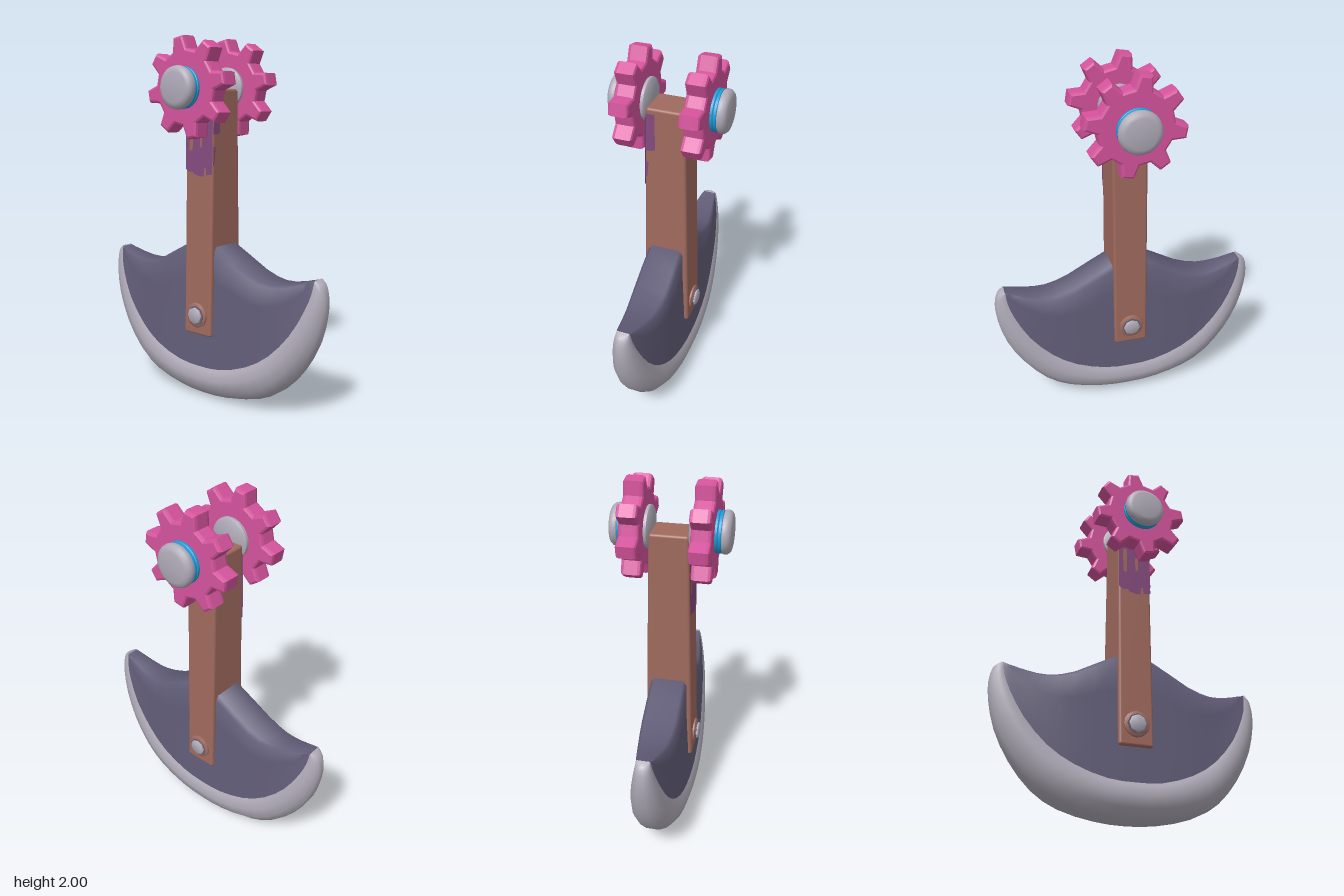
import * as THREE from 'three';
import { toCreasedNormals } from 'three/addons/utils/BufferGeometryUtils.js';
import { RoundedBoxGeometry } from 'three/addons/geometries/RoundedBoxGeometry.js';

const mat = (name, color, side = THREE.FrontSide) => {
  const m = new THREE.MeshStandardMaterial({ color, side });
  m.name = name;
  return m;
};

// Skin a list of equal-length cross-sections
function skin(sections, closed) {
  const n = sections[0].length, pos = [], idx = [];
  sections.forEach(s => s.forEach(p => pos.push(p.x, p.y, p.z)));
  for (let i = 0; i < sections.length - 1; i++) {
    for (let j = 0; j < (closed ? n : n - 1); j++) {
      const k = (j + 1) % n, a = i * n + j, b = a + n, c = (i + 1) * n + k, d = i * n + k;
      idx.push(a, b, c, a, c, d);
    }
  }
  const g = new THREE.BufferGeometry();
  g.setAttribute('position', new THREE.Float32BufferAttribute(pos, 3));
  g.setIndex(idx);
  return toCreasedNormals(g, Math.PI / 3);
}

// Turned part along z from [radius, z] pairs
const turned = (pts, sides = 32) => toCreasedNormals(
  new THREE.LatheGeometry(pts.map(p => new THREE.Vector2(...p)), sides).rotateX(Math.PI / 2), 0.7);

export function createModel() {
  const root = new THREE.Group();
  const slate = mat('slate', 0x625d78, THREE.DoubleSide), steel = mat('steel', 0xb0abb8);
  const brown = mat('brown', 0xa06a5e), pink = mat('pink', 0xd4539c);
  const blue = mat('blue', 0x1d9bd6), purple = mat('purple', 0x844a7e, THREE.DoubleSide);
  const add = (name, geo, m, parent = root) => {
    const mesh = new THREE.Mesh(geo, m);
    mesh.name = name;
    parent.add(mesh);
    return mesh;
  };

  // Blade guides from centre to tip: [x, y, half depth]
  const top = [[0, .885, .1], [.1, .88, .1], [.32, .76, .1], [.46, .725, .085], [.57, .74, .065],
    [.64, .76, .05], [.675, .77, .042], [.69, .775, .035], [.70, .777, .03], [.715, .772, 0]];
  const seam = [[0, .19, .125], [.15, .2, .122], [.32, .255, .115], [.46, .345, .1], [.58, .48, .085],
    [.655, .62, .065], [.685, .71, .048], [.692, .773, .036], [.70, .777, .03], [.715, .772, 0]];
  const rim = [[0, .003, .147], [.17, .015, .145], [.36, .06, .135], [.5, .14, .12], [.62, .275, .1],
    [.705, .43, .077], [.745, .58, .057], [.752, .68, .042], [.738, .748, .03], [.715, .772, 0]];
  const guide = rows => new THREE.CatmullRomCurve3([
    ...rows.slice(1).reverse().map(([x, y, d]) => new THREE.Vector3(-x, y, d)),
    ...rows.map(r => new THREE.Vector3(...r))], false, 'catmullrom', 0.5);
  const T = guide(top), I = guide(seam), O = guide(rim);

  const body = [], edge = [];
  for (let i = 0; i <= 36; i++) {
    const t = i / 36, a = T.getPoint(t), b = I.getPoint(t), c = O.getPoint(t);
    const at = (p, q, k, d) => new THREE.Vector3(p.x + (q.x - p.x) * k, p.y + (q.y - p.y) * k, d);
    const flip = list => list.slice().reverse().map(p => new THREE.Vector3(p.x, p.y, -p.z));
    if (i >= 4 && i <= 32) {
      const front = [at(b, a, 0, b.z), at(b, a, .35, b.z * .6 + a.z * .4), at(b, a, .7, a.z * 1.03),
        at(b, a, .96, a.z), at(b, a, 1, a.z * .82)];
      body.push([...front, ...flip(front)]);
    }
    const frontEdge = [at(b, c, 1, c.z * .25), at(b, c, .92, c.z * .55), at(b, c, .68, c.z * .88),
      at(b, c, .35, c.z), at(b, c, .1, b.z * .6 + c.z * .4), at(b, c, 0, b.z)];
    edge.push([...flip(frontEdge), ...frontEdge]);
  }
  add('bladeBody', skin(body, false), slate);
  add('bladeEdge', skin(edge, true), steel);

  // Arm, deeper towards its foot
  const depth = y => 0.137 - 0.032 * (y - 0.375) / 1.355;
  const armGeo = new RoundedBoxGeometry(0.19, 1.355, 0.2, 3, 0.014);
  armGeo.translate(0, 1.0525, 0);
  const p = armGeo.attributes.position;
  for (let i = 0; i < p.count; i++) p.setZ(i, p.getZ(i) * depth(p.getY(i)) / 0.1);
  add('arm', armGeo, brown);

  // Worn paint on the front of the arm
  const outline = pts => pts.map(q => new THREE.Vector2(...q));
  const paint = new THREE.Shape(outline([[-.094, 1.72], [-.094, 1.3], [-.075, 1.285], [-.04, 1.285],
    [-.035, 1.275], [.0, 1.265], [.035, 1.265], [.037, 1.31], [.05, 1.31], [.052, 1.275],
    [.08, 1.275], [.094, 1.28], [.094, 1.72]]));
  for (const [x0, x1, y0, y1] of [[-.068, -.045, 1.4, 1.55], [.005, .022, 1.42, 1.5]]) {
    paint.holes.push(new THREE.Path(outline([[x0, y0], [x0, y1], [x1, y1], [x1, y0]])));
  }
  const paintGeo = new THREE.ShapeGeometry(paint);
  const q = paintGeo.attributes.position;
  for (let i = 0; i < q.count; i++) q.setZ(i, depth(q.getY(i)) + 0.002);
  add('frontPaint', paintGeo, purple);

  // Paint wrapped onto the left side of the arm
  const sidePaint = [[[.055, 1.7], [.055, 1.5], [.075, 1.49], [.108, 1.49], [.104, 1.7]],
    [[.092, 1.42], [.1, 1.34], [.112, 1.32], [.109, 1.43]]];
  sidePaint.forEach(pts => {
    const g = new THREE.ShapeGeometry(new THREE.Shape(outline(pts)));
    add('sidePaint', g.rotateY(-Math.PI / 2).translate(0.097, 0, 0), purple);
  });

  // Gear with eight tapered teeth
  const gearPts = [];
  for (let k = 0; k < 8; k++) {
    const mid = (10 + 45 * k) * Math.PI / 180;
    for (const [r, da] of [[.2, -.25], [.268, -.125], [.268, .125], [.2, .25]]) {
      gearPts.push(new THREE.Vector2(r * Math.cos(mid + da), r * Math.sin(mid + da)));
    }
  }
  const gearGeo = new THREE.ExtrudeGeometry(new THREE.Shape(gearPts), {
    depth: 0.07, bevelEnabled: true, bevelThickness: 0.018, bevelSize: 0.014,
    bevelOffset: -0.014, bevelSegments: 2 });
  gearGeo.translate(0, 0, -0.035);

  const hubGeo = turned([[0, .104], [.1, .104], [.112, .112], [.112, .14], [.1, .15], [.1, .265],
    [.11, .268], [.113, .28], [.11, .295], [.098, .308], [.08, .313], [0, .315]]);
  const ringGeo = turned([[.1, .228], [.109, .232], [.109, .244], [.104, .248], [.109, .252],
    [.109, .264], [.1, .268]]);
  const washerGeo = turned([[.07, .125], [.07, .143], [.062, .148], [0, .148]], 16);
  const collarGeo = turned([[.055, .145], [.055, .152], [0, .152]], 8);
  const boltGeo = turned([[.047, .145], [.047, .16], [.04, .165], [0, .165]], 8);

  // Matching gear, hub and bolt on the front and back
  for (const side of [1, -1]) {
    const label = side > 0 ? 'front' : 'back';
    add(label + 'Gear', gearGeo, pink).position.set(0, 1.735, side * 0.18);
    const hub = new THREE.Group();
    hub.name = label + 'Hub';
    hub.position.y = 1.735;
    add('hubCap', hubGeo, steel, hub);
    add('hubRing', ringGeo, blue, hub);
    const bolt = new THREE.Group();
    bolt.name = label + 'Bolt';
    bolt.position.y = 0.49;
    add('washer', washerGeo, brown, bolt);
    add('collar', collarGeo, slate, bolt);
    add('boltHead', boltGeo, steel, bolt);
    for (const g of [hub, bolt]) {
      g.rotation.y = side > 0 ? 0 : Math.PI;
      root.add(g);
    }
  }
  return root;
}
